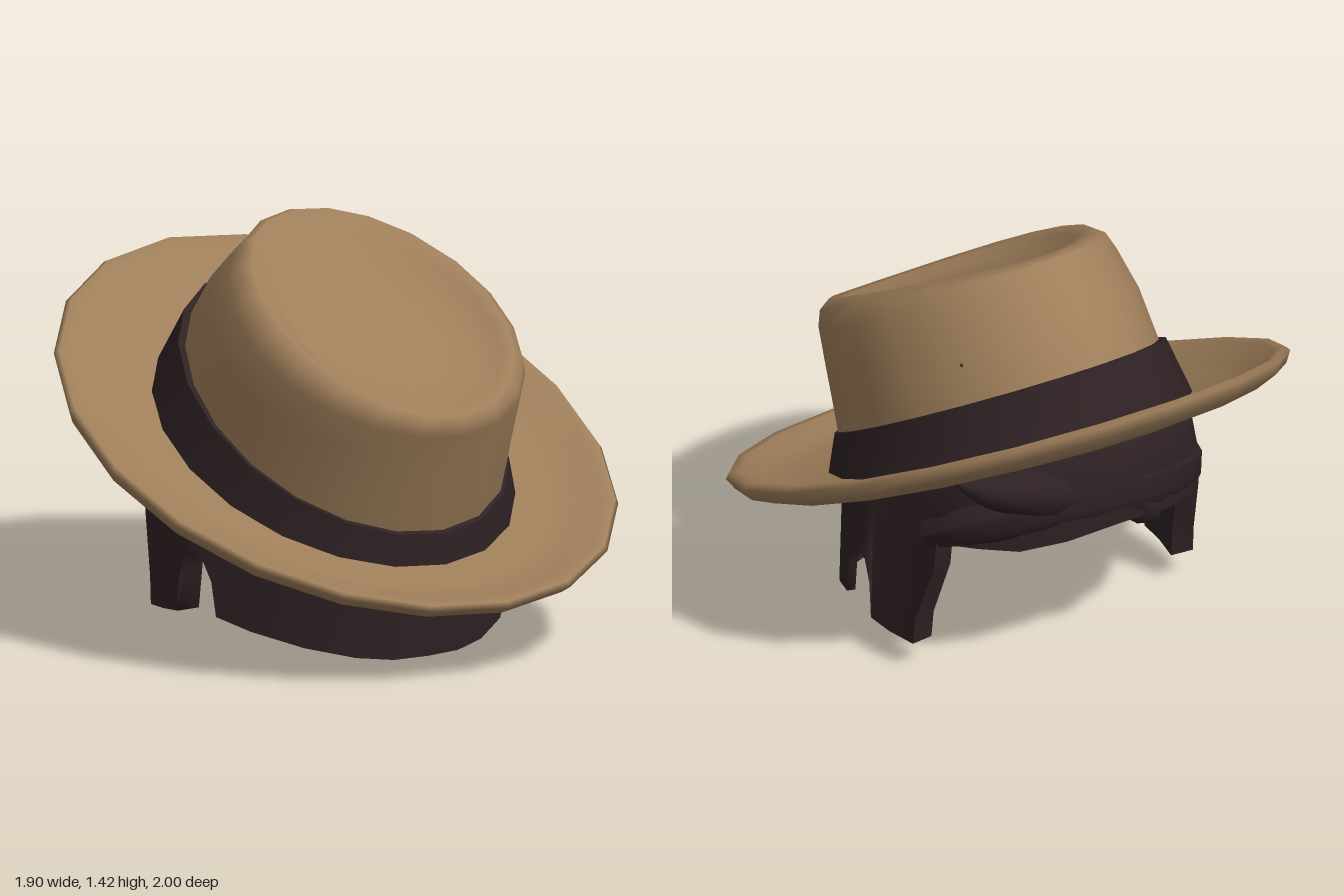
import * as THREE from 'three';
import { toCreasedNormals } from 'three/addons/utils/BufferGeometryUtils.js';

const TILT = 0.431, LIFT = 0.71, SIDES = 20;

// Skin over closed rows of points, listed bottom to top on the outside
function skin(rows, crease) {
  const n = rows[0].length, pos = [], index = [];
  rows.forEach(r => r.forEach(p => pos.push(p.x, p.y, p.z)));
  for (let i = 0; i < rows.length - 1; i++) {
    for (let j = 0; j < n; j++) {
      const a = i * n + j, b = i * n + (j + 1) % n;
      index.push(a, b, b + n, a, b + n, a + n);
    }
  }
  const g = new THREE.BufferGeometry();
  g.setAttribute('position', new THREE.Float32BufferAttribute(pos, 3));
  g.setIndex(index);
  g.computeVertexNormals();
  return crease ? toCreasedNormals(g, crease) : g;
}

// Oval ring: half width, half length, centre z, height, slope along z, droop at the sides.
// The egg amount widens the front and narrows the back.
function oval([rx, rz, cz, y, slope = 0, droop = 0], angles, egg = 0) {
  return angles.map(a => {
    const s = Math.sin(a), c = Math.cos(a), z = cz + rz * c;
    return new THREE.Vector3(rx * s * (1 + egg * c), y + slope * z - droop * s * s, z);
  });
}

const around = Array.from({ length: SIDES }, (_, i) => i / SIDES * Math.PI * 2 + 0.03);
const loft = (rings, crease, egg) => skin(rings.map(r => oval(r, around, egg)), crease);

// Tapered curved lock of hair running through the points
function lock(points, radii) {
  const curve = new THREE.CatmullRomCurve3(points.map(p => new THREE.Vector3(...p)));
  const steps = 16, sides = 10;
  const g = new THREE.TubeGeometry(curve, steps, 1, sides);
  const p = g.attributes.position, v = new THREE.Vector3();
  for (let i = 0; i <= steps; i++) {
    const c = curve.getPointAt(i / steps);
    const t = i / steps * (radii.length - 1), k = Math.min(Math.floor(t), radii.length - 2);
    const r = THREE.MathUtils.lerp(radii[k], radii[k + 1], t - k);
    for (let j = 0; j <= sides; j++) {
      const q = i * (sides + 1) + j;
      v.fromBufferAttribute(p, q).sub(c).multiplyScalar(r).add(c);
      p.setXYZ(q, v.x, v.y, v.z);
    }
  }
  g.computeVertexNormals();
  return g;
}

export function createModel() {
  const model = new THREE.Group();
  const felt = new THREE.MeshStandardMaterial({ color: 0x9e7e5a });
  felt.name = 'tan felt';
  const dark = new THREE.MeshStandardMaterial({ color: 0x2e2123, side: THREE.DoubleSide });
  dark.name = 'dark brown';
  const add = (parent, name, geometry, material) => {
    const m = new THREE.Mesh(geometry, material);
    m.name = name;
    parent.add(m);
  };

  // Hat, tipped down toward the front
  const hat = new THREE.Group();
  hat.name = 'hat';
  hat.rotation.x = TILT;
  hat.position.y = LIFT;
  model.add(hat);

  add(hat, 'brim', loft([
    [0.54, 0.66, 0, -0.11], [0.74, 0.87, 0, -0.1, 0, 0.01], [0.86, 0.98, 0, -0.08, 0, 0.02],
    [0.93, 1.07, 0, -0.04, 0, 0.03], [0.95, 1.1, 0, 0, 0, 0.03], [0.935, 1.085, 0, 0.017, 0, 0.03],
    [0.9, 1.05, 0, 0.012, 0, 0.03], [0.83, 0.97, 0, -0.03, 0, 0.02],
    [0.73, 0.87, 0, -0.065, 0, 0.01], [0.54, 0.66, 0, -0.085],
  ]), felt);

  // Crown with a rounded rim and a shallow oval dish in its top
  add(hat, 'crown', loft([
    [0.545, 0.68, -0.01, -0.08], [0.53, 0.67, -0.01, 0.12], [0.52, 0.637, 0.005, 0.3, -0.03],
    [0.5, 0.598, 0.04, 0.44, -0.06], [0.475, 0.587, 0.046, 0.486, -0.07, -0.015],
    [0.43, 0.56, 0.047, 0.508, -0.07, -0.025], [0.385, 0.48, 0.07, 0.5, -0.065, -0.015],
    [0.33, 0.39, 0.1, 0.468, -0.05], [0.2, 0.25, 0.1, 0.46, -0.05],
    [0.001, 0.001, 0.1, 0.458, -0.05],
  ], 0, 0.05), felt);

  add(hat, 'band', loft([
    [0.605, 0.735, 0, -0.09], [0.55, 0.693, -0.01, 0.085, -0.095], [0.51, 0.65, -0.01, 0.085, -0.095],
  ], 0.8, 0.03), dark);

  // Lower hair edge on one side, as z and y from the front centre to the back centre
  const edge = [
    [0.56, 0], [0.545, 0], [0.5, 0.015], [0.4, 0.05], [0.25, 0.095], [0.12, 0.13],
    [0.1, 0.25], [0.06, 0.32], [0.015, 0.345], [-0.03, 0.33], [-0.06, 0.25], [-0.07, 0.12],
    [-0.17, 0.11], [-0.28, 0.1], [-0.29, 0.2], [-0.36, 0.41], [-0.37, 0.52],
    [-0.5, 0.53], [-0.6, 0.53], [-0.68, 0.56], [-0.72, 0.59],
  ];
  const half = edge.map(([z, y]) => [Math.acos(THREE.MathUtils.clamp((z + 0.08) / 0.64, -1, 1)), y]);
  const hem = [...half, ...half.slice(1, -1).reverse().map(([a, y]) => [Math.PI * 2 - a, y])];
  const angles = hem.map(h => h[0]);
  const hemRow = (rx, rz) => hem.map(([a, y]) =>
    new THREE.Vector3(rx * Math.sin(a), y, -0.08 + rz * Math.cos(a)));
  const xAxis = new THREE.Vector3(1, 0, 0);
  const inHat = ring => oval(ring, angles).map(p => {
    p.applyAxisAngle(xAxis, TILT).y += LIFT;
    return p;
  });
  const outerHem = hemRow(0.615, 0.63), outerTop = inHat([0.565, 0.675, 0, -0.07]);
  // Wall rows between hem and brim, swelling toward the back
  const wall = (t, swell) => outerHem.map((p, i) => {
    const q = p.clone().lerp(outerTop[i], t);
    q.z -= swell * THREE.MathUtils.smoothstep(-q.z, 0.2, 0.55);
    return q;
  });
  const innerHem = hemRow(0.585, 0.6);
  innerHem.forEach(p => { if (p.z < -0.04 && p.z > -0.4) p.x *= 0.9; });

  // Hair shell: inner dome and wall, then outer wall and dome
  add(model, 'hair', skin([
    inHat([0.001, 0.001, 0, 0.38]), inHat([0.28, 0.35, 0, 0.34]), inHat([0.43, 0.53, 0, 0.21]),
    inHat([0.515, 0.63, 0, -0.04]), innerHem, outerHem, wall(0.4, 0.035), wall(0.78, 0.05), outerTop,
    inHat([0.46, 0.57, 0, 0.24]), inHat([0.3, 0.38, 0, 0.38]), inHat([0.001, 0.001, 0, 0.41]),
  ], 1.4), dark);

  // Swept roll of hair across the back opening and its loose tips
  add(model, 'fringe', lock([
    [0.53, 0.52, -0.29], [0.44, 0.61, -0.45], [0.2, 0.68, -0.58], [-0.1, 0.67, -0.59],
    [-0.34, 0.61, -0.49], [-0.53, 0.53, -0.3],
  ], [0.05, 0.09, 0.11, 0.13, 0.11, 0.05]), dark);
  add(model, 'looseLock', lock([
    [0.08, 0.72, -0.6], [0.28, 0.74, -0.58], [0.46, 0.78, -0.54], [0.61, 0.86, -0.55],
  ], [0.1, 0.1, 0.065, 0.002]), dark);
  add(model, 'fringeTip', lock([
    [-0.08, 0.64, -0.62], [-0.15, 0.56, -0.62], [-0.2, 0.47, -0.6],
  ], [0.09, 0.07, 0.002]), dark);
  add(model, 'strayTip', lock([
    [0.32, 1.09, -0.22], [0.36, 1.11, -0.255], [0.385, 1.125, -0.28],
  ], [0.03, 0.022, 0.002]), dark);

  return model;
}
